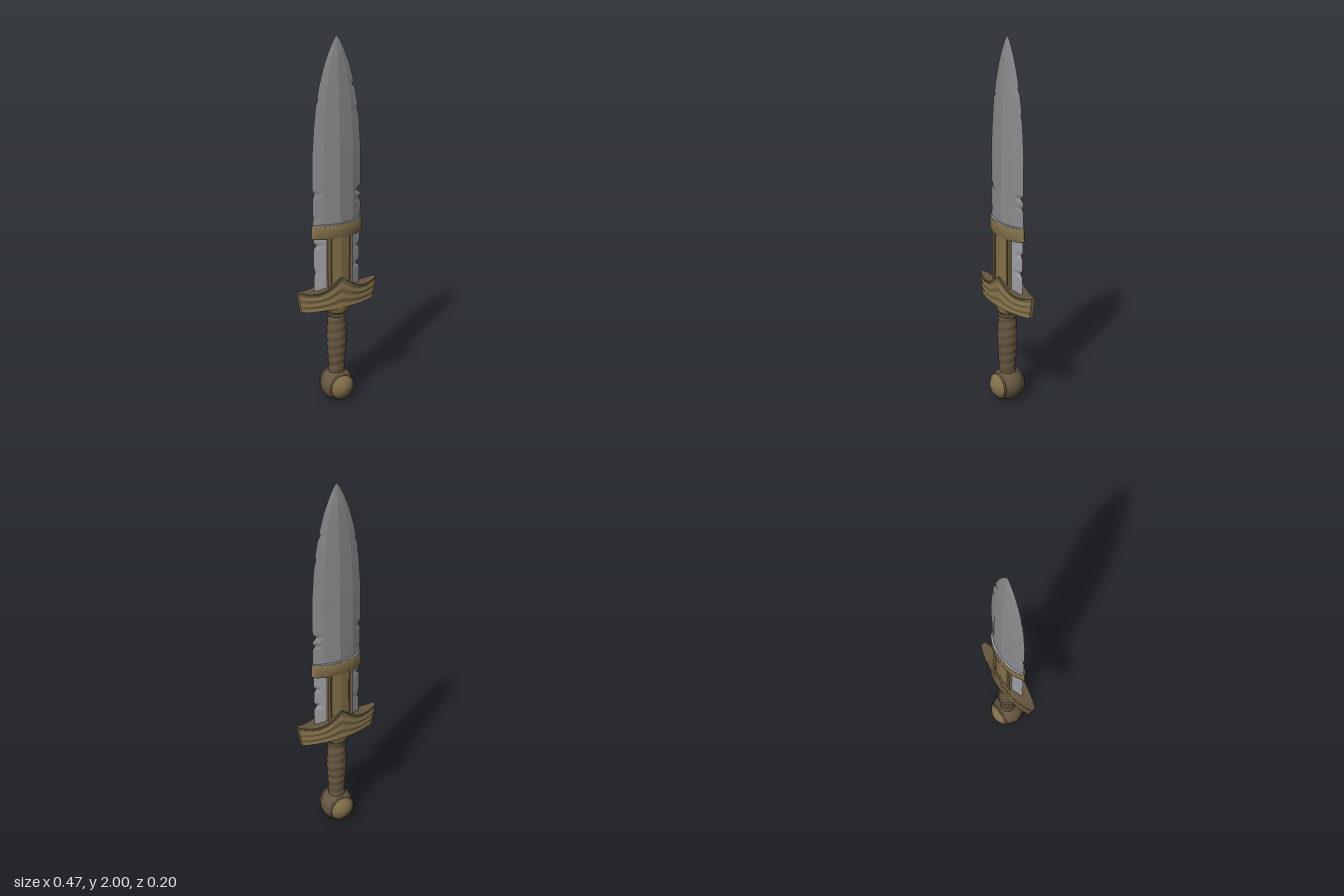
import * as THREE from 'three';
import { toCreasedNormals } from 'three/addons/utils/BufferGeometryUtils.js';

const mat = (name, color) => new THREE.MeshStandardMaterial({ name, color });

// Skin a row of equal-length closed rings and cap both ends.
function loft(rings, crease = 0.5) {
  const n = rings[0].length, index = [], last = (rings.length - 1) * n;
  for (let i = 0; i < rings.length - 1; i++) {
    for (let j = 0; j < n; j++) {
      const a = i * n + j, b = i * n + (j + 1) % n;
      index.push(a, b, a + n, b, b + n, a + n);
    }
  }
  for (let k = 1; k < n - 1; k++) index.push(0, k + 1, k, last, last + k, last + k + 1);
  const g = new THREE.BufferGeometry();
  g.setAttribute('position', new THREE.Float32BufferAttribute(rings.flat(2), 3));
  g.setIndex(index);
  return toCreasedNormals(g, crease);
}

// Linear lookup in a list of [key, value] pairs.
function lookup(table, t) {
  for (let i = 1; i < table.length; i++) {
    const [a, u] = table[i - 1], [b, v] = table[i];
    if (t <= b) return u + (v - u) * (t - a) / (b - a);
  }
  return table[table.length - 1][1];
}

// Horizontal ring with pointed left and right ends; power 1 gives an ellipse.
function lensRing(hx, hz, y, power = 1.4, n = 40) {
  return Array.from({ length: n }, (_, i) => {
    const a = i / n * Math.PI * 2, s = Math.sin(a);
    return [hx * Math.cos(a), y, -Math.sign(s) * hz * Math.abs(s) ** power];
  });
}

const HALF_WIDTH = [[0.6, 0.135], [0.95, 0.138], [1.05, 0.142], [1.4, 0.142], [1.55, 0.131], [1.65, 0.12],
  [1.75, 0.101], [1.85, 0.073], [1.92, 0.046], [1.97, 0.022], [2, 0.0005]];
const HALF_DEPTH = [[0.6, 0.041], [1.05, 0.04], [1.4, 0.035], [1.7, 0.025], [1.9, 0.014], [2, 0.0005]];
// Chips in the cutting edges: [height, depth, reach]
const CHIPS_RIGHT = [[0.77, 0.02, 0.02], [0.87, 0.014, 0.02], [1.13, 0.016, 0.018], [1.18, 0.025, 0.022], [1.61, 0.006, 0.03], [1.74, 0.012, 0.02]];
const CHIPS_LEFT = [[0.76, 0.008, 0.03], [0.91, 0.016, 0.02], [1.06, 0.006, 0.02], [1.19, 0.013, 0.025], [1.68, 0.006, 0.02]];

function chipDepth(chips, y) {
  return chips.reduce((d, [at, deep, reach]) => d + deep * Math.max(0, 1 - Math.abs(y - at) / reach), 0);
}

function bladeGeometry(y0, y1, rows) {
  const rings = [];
  for (let i = 0; i <= rows; i++) {
    const y = y0 + (y1 - y0) * i / rows;
    const w = lookup(HALF_WIDTH, y), t = lookup(HALF_DEPTH, y);
    const r = w - chipDepth(CHIPS_RIGHT, y), l = -w + chipDepth(CHIPS_LEFT, y);
    const m = 0.6 * w, d = 0.6 * t;
    rings.push([[r, y, 0], [m, y, -d], [0, y, -t], [-m, y, -d],
      [l, y, 0], [-m, y, d], [0, y, t], [m, y, d]]);
  }
  return loft(rings, 0.12);
}

const GUARD_TOP = [[0, 0.725], [0.03, 0.702], [0.08, 0.668], [0.13, 0.652], [0.18, 0.653], [0.235, 0.667]];
const guardDepth = x => 0.012 + 0.046 * (1 - (x / 0.235) ** 2);

// Crossguard with flowing ridges that follow its upper edge.
function guardGeometry() {
  const rings = [], columns = 48, rows = 20;
  for (let i = 0; i <= columns; i++) {
    const x = -0.235 + 0.47 * i / columns, top = lookup(GUARD_TOP, Math.abs(x)), hz = guardDepth(x);
    const front = [], back = [];
    for (let j = 0; j <= rows; j++) {
      const v = j / rows;
      const z = hz * (1 - 0.1 * v) + Math.min(0.003, hz * 0.12) * Math.cos(v * Math.PI * 6);
      const px = x * (1 - 0.085 * v), y = top + (0.553 - top) * v;
      front.push([px, y, z]);
      back.unshift([px, y, -z]);
    }
    rings.push([...front, ...back]);
  }
  return loft(rings, 0.7);
}

// Thin dark skin on the upper edge of the guard.
function guardTopGeometry() {
  const rings = [];
  for (let i = 0; i <= 24; i++) {
    const x = -0.235 + 0.47 * i / 24, y = lookup(GUARD_TOP, Math.abs(x)), z = guardDepth(x) * 0.97;
    rings.push([[x, y + 0.003, z], [x, y - 0.002, z], [x, y - 0.002, -z], [x, y + 0.003, -z]]);
  }
  return loft(rings, 0.4);
}

export function createModel() {
  const steel = mat('steel', 0x8b8c8d);
  const brightSteel = mat('brightSteel', 0x9c9ea2);
  const brass = mat('brass', 0x83714a);
  const leather = mat('leather', 0x64553f);
  const shadowBrown = mat('darkBrown', 0x4a3e2c);
  const model = new THREE.Group();
  const add = (name, geometry, material, x = 0, y = 0, z = 0) => {
    const mesh = new THREE.Mesh(geometry, material);
    mesh.name = name;
    mesh.position.set(x, y, z);
    model.add(mesh);
    return mesh;
  };

  // Blade
  add('blade', bladeGeometry(1.0, 2, 120), steel);
  add('lowerBlade', bladeGeometry(0.62, 1.0, 50), brightSteel);

  // Collar band and its worn upper lip
  add('collar', loft([[0.144, 0.046, 0.948], [0.15, 0.05, 0.956], [0.148, 0.05, 1.014], [0.145, 0.048, 1.02]]
    .map(([x, z, y]) => lensRing(x, z, y))), brass);
  add('collarLip', loft([1.019, 1.025].map(y => lensRing(0.144, 0.047, y))), brightSteel);

  // Ridged spine over the lower blade, framed by grooves and rails on both faces
  const section = [[0.05, -0.041], [0, -0.05], [-0.05, -0.041], [-0.05, 0.041], [0, 0.05], [0.05, 0.041]];
  add('spine', loft([0.62, 0.96].map(y => section.map(([x, z]) => [x, y, z])), 0.1), brass);
  for (const side of [-1, 1]) {
    add('spineGroove', new THREE.BoxGeometry(0.012, 0.33, 0.07), shadowBrown, side * 0.054, 0.79, 0);
    add('spineRail', new THREE.BoxGeometry(0.014, 0.33, 0.082), brass, side * 0.066, 0.79, 0);
  }

  // Crossguard and the taper beneath it
  add('guard', guardGeometry(), brass);
  add('guardTop', guardTopGeometry(), leather);
  add('guardTaper', loft([[0.045, 0.042, 0.507], [0.06, 0.047, 0.522], [0.125, 0.05, 0.556]]
    .map(([x, z, y]) => lensRing(x, z, y, 1.05))), brass);

  // Grip with a slanted leather wrap
  const gripRadius = [[0.15, 0.045], [0.2, 0.044], [0.27, 0.049], [0.36, 0.054], [0.44, 0.051], [0.49, 0.047], [0.52, 0.052]];
  const gripRings = [];
  for (let i = 0; i <= 74; i++) {
    const y = 0.15 + 0.005 * i;
    gripRings.push(lensRing(1, 1, y, 1, 28).map(([x, , z]) => {
      const wave = Math.sin(y * 130 + Math.atan2(z, x));
      const r = lookup(gripRadius, y) + 0.0018 * wave;
      return [x * r, y, z * r];
    }));
  }
  add('grip', loft(gripRings, 1), leather);
  const ring = add('gripRing', new THREE.TorusGeometry(0.046, 0.008, 10, 32), leather, 0, 0.505, 0);
  ring.rotation.x = Math.PI / 2;

  // Pommel ball with a domed medallion on each face
  add('pommel', new THREE.SphereGeometry(0.089, 36, 24), leather, 0, 0.089, 0);
  const dome = new THREE.LatheGeometry([[0.07, 0.045], [0.07, 0.064], [0.063, 0.071], [0.045, 0.086], [0.022, 0.096], [0, 0.099]]
    .map(([r, h]) => new THREE.Vector2(r, h)), 36);
  for (const side of [-1, 1]) {
    add('pommelMedallion', dome, brass, 0, 0.089, 0).rotation.x = side * Math.PI / 2;
    add('medallionRim', new THREE.TorusGeometry(0.068, 0.006, 8, 36), leather, 0, 0.089, side * 0.061);
  }
  return model;
}
